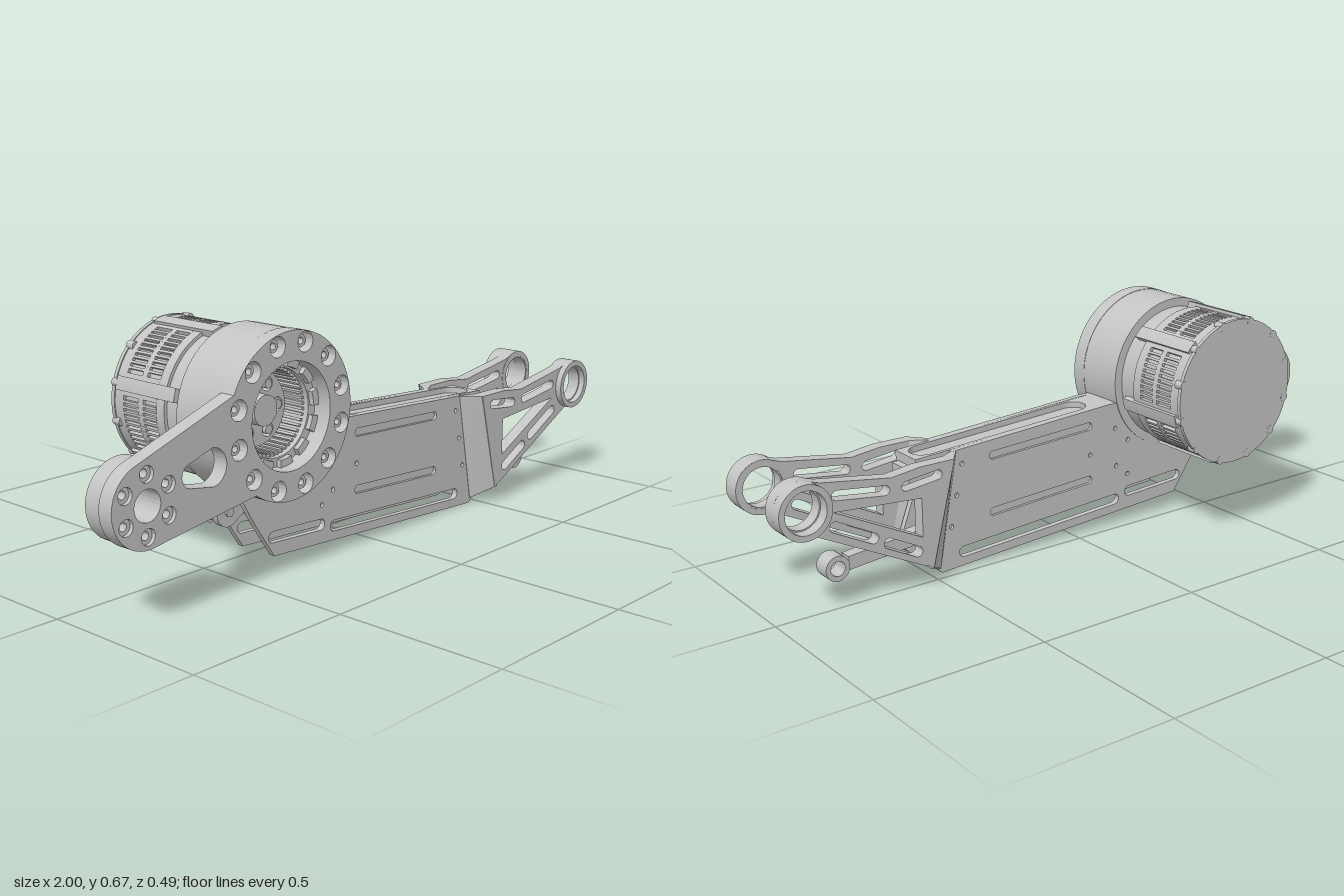
import * as THREE from 'three';
import { toCreasedNormals } from 'three/addons/utils/BufferGeometryUtils.js';
import { ConvexGeometry } from 'three/addons/geometries/ConvexGeometry.js';

const HUB = [-0.385, 0.445], EYE = [0.922, 0.314], ANKLE = [-0.888, 0.318], MID = 0.1025;
const rad = THREE.MathUtils.degToRad;

export function createModel() {
  const model = new THREE.Group();
  model.name = 'actuatedLeg';
  const metal = new THREE.MeshStandardMaterial({ color: 0xc3c3c3 });
  metal.name = 'machined grey';

  const add = (name, geo, parent = model) => {
    const mesh = new THREE.Mesh(toCreasedNormals(geo, 0.5), metal);
    mesh.name = name;
    parent.add(mesh);
    return mesh;
  };
  const group = (name) => {
    const g = new THREE.Group();
    g.name = name;
    model.add(g);
    return g;
  };
  // Outline in the xy plane, extruded from z0 to z1
  const prism = (name, shape, z0, z1, parent) => {
    const geo = new THREE.ExtrudeGeometry(shape, { depth: z1 - z0, bevelEnabled: false, curveSegments: 24 });
    return add(name, geo.translate(0, 0, z0), parent);
  };
  const polygon = (pts) => new THREE.Shape(pts.map((p) => new THREE.Vector2(...p)));
  const hole = (x, y, r) => new THREE.Path().absarc(x, y, r, 0, Math.PI * 2);
  const slot = (x0, y0, x1, y1, r) => {
    const a = Math.atan2(y1 - y0, x1 - x0), q = Math.PI / 2;
    return new THREE.Path().absarc(x1, y1, r, a - q, a + q).absarc(x0, y0, r, a + q, a + 3 * q).closePath();
  };
  const disc = (x, y, r, ...holes) => {
    const s = new THREE.Shape().absarc(x, y, r, 0, Math.PI * 2);
    s.holes.push(...holes);
    return s;
  };
  const sector = ([x, y], r0, r1, a0, a1) =>
    new THREE.Shape().absarc(x, y, r1, a0, a1, false).absarc(x, y, r0, a1, a0, true).closePath();
  const around = ([x, y], r, n, start) => Array.from({ length: n }, (_, i) => {
    const a = rad(start + i * 360 / n);
    return [x + r * Math.cos(a), y + r * Math.sin(a)];
  });

  // Crank: hub ring and short arm in one plate
  const hubBolts = around(HUB, 0.2, 12, 15), ankleBolts = around(ANKLE, 0.079, 6, 30);
  const crank = new THREE.Shape()
    .absarc(...HUB, 0.23, rad(156), rad(-126), true)
    .absarc(...ANKLE, 0.112, rad(-82), rad(-250), true).closePath();
  crank.holes.push(hole(...HUB, 0.148), hole(...ANKLE, 0.042),
    ...hubBolts.map((p) => hole(...p, 0.028)), ...ankleBolts.map((p) => hole(...p, 0.022)));
  crank.holes.push(new THREE.Path().absarc(-0.675, 0.368, 0.051, rad(-85), rad(85))
    .absarc(-0.742, 0.362, 0.033, rad(95), rad(265)).closePath());
  prism('crankArm', crank, 0.18, 0.227);
  const bolts = group('crankBolts');
  for (const p of hubBolts) prism('hubBolt', disc(...p, 0.018, hole(...p, 0.009)), 0.17, 0.21, bolts);
  for (const p of ankleBolts) prism('ankleBolt', disc(...p, 0.022, hole(...p, 0.011)), 0.17, 0.215, bolts);
  prism('ankleFlange', disc(...ANKLE, 0.108, hole(...ANKLE, 0.042)), 0.125, 0.181);
  prism('ankleLip', disc(...ANKLE, 0.065, hole(...ANKLE, 0.042)), 0.107, 0.126);

  // Gear housing and the drive seen inside it
  prism('gearHousing', disc(...HUB, 0.229, hole(...HUB, 0.148)), 0.03, 0.18);
  const drive = group('planetaryDrive');
  prism('driveFloor', disc(...HUB, 0.149), 0.03, 0.055, drive);
  prism('ringGear', disc(...HUB, 0.149, hole(...HUB, 0.122)), 0.055, 0.17, drive);
  for (let i = 0; i < 12; i++)
    prism('ringLug', sector(HUB, 0.127, 0.149, rad(i * 30), rad(i * 30 + 18)), 0.17, 0.185, drive);
  for (let i = 0; i < 48; i++)
    prism('gearTooth', sector(HUB, 0.114, 0.123, rad(i * 7.5), rad(i * 7.5 + 3.7)), 0.055, 0.155, drive);
  const pins = around(HUB, 0.073, 6, 0);
  prism('carrier', disc(...HUB, 0.103, ...pins.map((p) => hole(...p, 0.02))), 0.055, 0.1, drive);
  for (const p of pins) prism('carrierPin', disc(...p, 0.013), 0.055, 0.105, drive);
  prism('sunShaft', disc(...HUB, 0.043), 0.055, 0.13, drive);

  // Motor: core, end rings, slotted grilles, clamp strips, back cover
  const motor = group('motor');
  prism('motorNeck', disc(...HUB, 0.203), -0.035, 0.031, motor);
  prism('motorCore', disc(...HUB, 0.203), -0.235, -0.034, motor);
  for (const [z0, z1] of [[-0.068, -0.036], [-0.14, -0.121], [-0.236, -0.201]])
    prism('motorBand', disc(...HUB, 0.213, hole(...HUB, 0.198)), z0, z1, motor);
  prism('backCover', disc(...HUB, 0.216), -0.247, -0.235, motor);
  for (let k = 0; k < 6; k++) {
    const a = 44.5 + k * 60;
    prism('grilleFrame', sector(HUB, 0.198, 0.213, rad(a - 8.5), rad(a + 8.5)), -0.202, -0.067, motor);
    for (let i = 0; i < 9; i++) {
      const c = a + 30 + (i - 4) * 4.3;
      prism('grilleRib', sector(HUB, 0.198, 0.213, rad(c - 1), rad(c + 1)), -0.202, -0.067, motor);
    }
    prism('clampStrip', sector(HUB, 0.2, 0.222, rad(a - 5), rad(a + 5)), -0.226, 0.008, motor);
  }
  for (const p of around(HUB, 0.208, 12, 14.5)) prism('coverBolt', disc(...p, 0.013), -0.2475, -0.22, motor);

  // Thigh side plates: a full inner sheet and a thin outer sheet with shallow pockets
  const plateShape = (pocketed) => {
    const s = new THREE.Shape().absarc(...HUB, 0.2, rad(222), rad(342), false);
    for (const p of [[-0.135, 0.384], [0.42, 0.352], [0.53, 0.06], [0.465, 0], [-0.4, 0.05], [-0.478, 0.165], [-0.52, 0.235]])
      s.lineTo(...p);
    s.closePath();
    s.holes.push(slot(-0.405, 0.105, -0.215, 0.094, 0.016), slot(-0.16, 0.078, 0.39, 0.046, 0.016));
    if (pocketed) {
      s.holes.push(slot(-0.06, 0.33, 0.285, 0.313, 0.012), slot(-0.06, 0.162, 0.285, 0.143, 0.012));
      for (const p of [[-0.21, 0.26], [-0.16, 0.305], [-0.065, 0.24], [-0.21, 0.15], [-0.165, 0.185], [0.39, 0.31], [0.41, 0.22], [0.43, 0.13]])
        s.holes.push(hole(...p, 0.007));
    }
    return s;
  };
  const thigh = group('thigh');
  for (const s of [1, -1]) {
    const span = (a, b) => s > 0 ? [a, b] : [2 * MID - b, 2 * MID - a];
    prism('sidePlateCore', plateShape(false), ...span(0.154, 0.163), thigh);
    prism('sidePlateSkin', plateShape(true), ...span(0.163, 0.172), thigh);

    // Flare that steps out from the side plate to the fork
    const flare = [];
    for (const [y, x] of [[0.352, 0.408], [0.05, 0.482]])
      for (const [dx, z] of [[0, 0.158], [0, 0.172], [0.045, 0.228], [0.055, 0.228], [0.055, 0.189]])
        flare.push(new THREE.Vector3(x + dx, y, MID + s * (z - MID)));
    for (const z of [0.158, 0.173])
      flare.push(new THREE.Vector3(0.47, 0.015, MID + s * (z - MID)));
    add('flare', new ConvexGeometry(flare), thigh);

    // Fork blade: triangulated arms meeting at the knee eye
    const blade = new THREE.Shape();
    blade.moveTo(0.45, 0.352);
    for (const p of [[0.56, 0.352], [0.65, 0.341], [0.86, 0.373]]) blade.lineTo(...p);
    blade.absarc(...EYE, 0.077, rad(120), rad(-105), true);
    for (const p of [[0.56, 0.066], [0.525, 0.052]]) blade.lineTo(...p);
    blade.closePath();
    blade.holes.push(hole(...EYE, 0.056), polygon([[0.558, 0.262], [0.558, 0.148], [0.825, 0.283]]),
      slot(0.505, 0.318, 0.605, 0.307, 0.014), slot(0.67, 0.309, 0.815, 0.328, 0.014),
      slot(0.575, 0.11, 0.665, 0.157, 0.015), slot(0.71, 0.182, 0.825, 0.242, 0.015));
    prism('forkBlade', blade, ...span(0.189, 0.228), thigh);
    const [e0, e1] = s > 0 ? [0.187, 0.247] : [-0.058, 0.017];
    prism('kneeEye', disc(...EYE, 0.077, hole(...EYE, 0.06)), e0, e1, thigh);
  }

  // Top web with a long rounded pocket
  const webRim = polygon([[-0.36, -0.053], [0.34, -0.053], [0.34, 0.053], [-0.36, 0.053]]);
  webRim.holes.push(slot(-0.24, 0, 0.28, 0, 0.042));
  const web = group('topWeb');
  web.position.set(0.19, 0.347, MID);
  web.rotation.z = -0.055;
  const rim = new THREE.ExtrudeGeometry(webRim, { depth: 0.018, bevelEnabled: false });
  add('webRim', rim.rotateX(-Math.PI / 2), web);
  add('webFloor', new THREE.BoxGeometry(0.7, 0.015, 0.106).translate(-0.01, -0.007, 0), web);
  add('webCore', new THREE.BoxGeometry(0.62, 0.06, 0.084).translate(0.05, -0.04, 0), web);
  add('crossTie', new THREE.BoxGeometry(0.04, 0.03, 0.15).translate(0.525, 0.255, MID), thigh);

  // Push rod running between the plates, with an eye and a clevis
  const rod = group('pushRod');
  const A = [-0.54, 0.203], B = [0.77, 0.077];
  const ang = Math.atan2(B[1] - A[1], B[0] - A[0]), len = Math.hypot(B[0] - A[0], B[1] - A[1]);
  const bar = add('rodBar', new THREE.BoxGeometry(len - 0.08, 0.04, 0.038), rod);
  bar.position.set((A[0] + B[0]) / 2, (A[1] + B[1]) / 2, MID);
  bar.rotation.z = ang;
  prism('rodEye', disc(...B, 0.037, hole(...B, 0.022)), 0.075, 0.13, rod);
  prism('clevisHub', disc(...A, 0.034), 0.084, 0.121, rod);
  for (const z of [0.062, 0.123]) {
    prism('clevisCheek', disc(...A, 0.042, hole(...A, 0.012)), z, z + 0.02, rod);
    const arm = add('clevisArm', new THREE.BoxGeometry(0.12, 0.07, 0.02), rod);
    arm.position.set(A[0] + 0.055, A[1] + 0.025, z + 0.01);
    arm.rotation.z = 0.5;
  }
  prism('clevisPin', disc(...A, 0.013), 0.055, 0.15, rod);
  return model;
}
